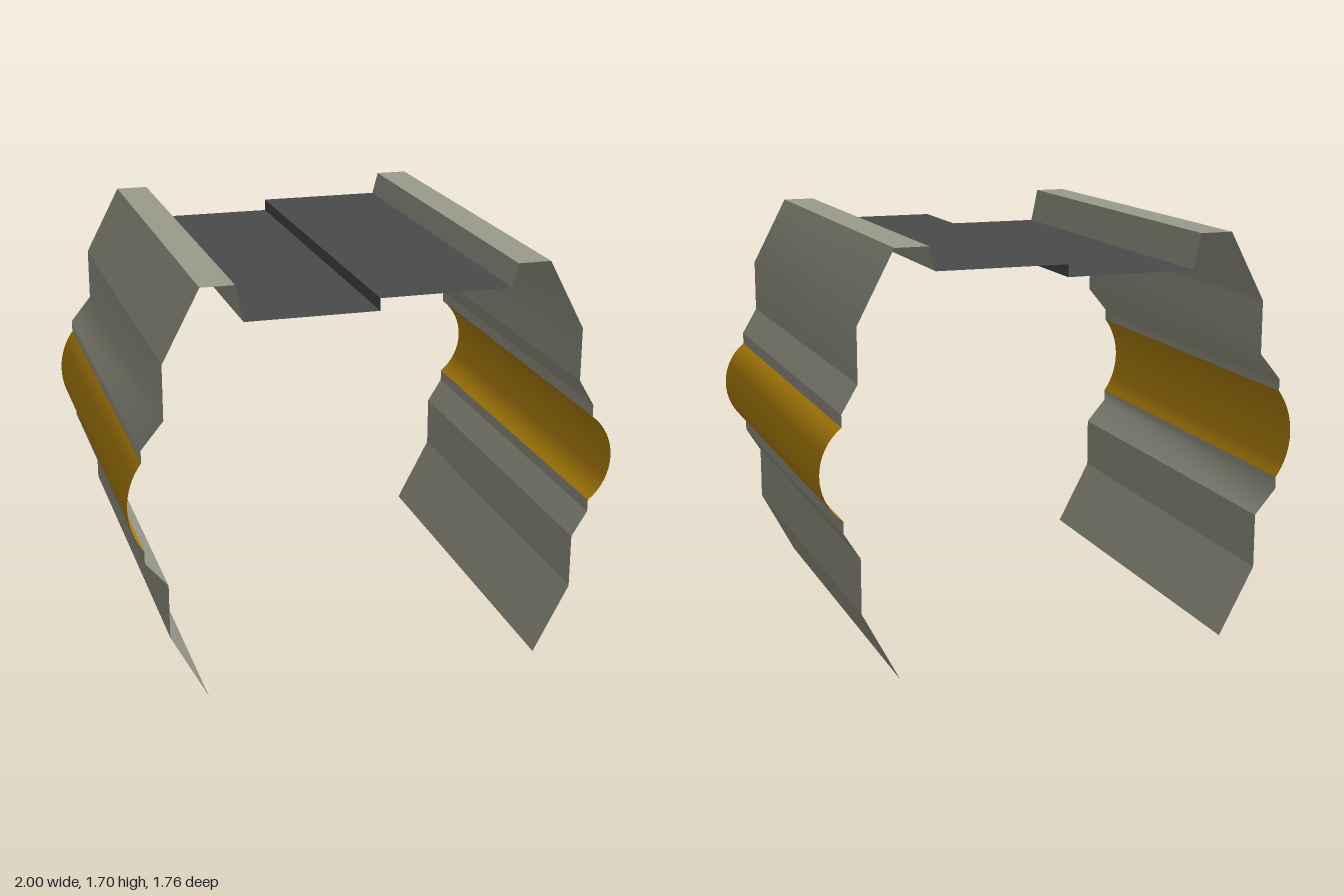
import * as THREE from 'three';

const DEPTH = 1.76;

function material(name, color) {
  const m = new THREE.MeshStandardMaterial({ color, side: THREE.DoubleSide });
  m.name = name;
  return m;
}

// Sheet swept along z from a list of [x, y] points; smooth within one strip
function strip(name, points, mat) {
  const n = points.length;
  const geo = new THREE.PlaneGeometry(1, 1, n - 1, 1);
  const pos = geo.attributes.position;
  for (let row = 0; row < 2; row++) {
    points.forEach(([x, y], i) => {
      pos.setXYZ(row * n + i, x, y, row === 0 ? -DEPTH / 2 : DEPTH / 2);
    });
  }
  geo.computeVertexNormals();
  const mesh = new THREE.Mesh(geo, mat);
  mesh.name = name;
  return mesh;
}

// Separate flat strips with a sharp fold at every point
function folded(name, points, mat) {
  const g = new THREE.Group();
  g.name = name;
  for (let i = 0; i + 1 < points.length; i++) {
    g.add(strip(name + 'Fold', [points[i], points[i + 1]], mat));
  }
  return g;
}

// Circular bulge between two heights, from the wall at x0 out to x1
function bulge(x0, x1, yTop, yBottom) {
  const half = (yTop - yBottom) / 2, sag = Math.abs(x1 - x0);
  const radius = (half * half + sag * sag) / (2 * sag);
  const span = Math.asin(half / radius), side = Math.sign(x1);
  return Array.from({ length: 17 }, (_, i) => {
    const a = span * (1 - i / 8);
    return [x1 - side * radius * (1 - Math.cos(a)), (yTop + yBottom) / 2 + radius * Math.sin(a)];
  });
}

export function createModel() {
  const model = new THREE.Group();
  model.name = 'foldedShell';
  const grey = material('warm grey', 0x9a9b8c);
  const gold = material('gold', 0xb8860b);
  const dark = material('dark grey', 0x4a4a4a);

  // Stepped roof
  model.add(folded('roofPanel', [[-0.535, 1.55], [0, 1.55], [0, 1.6], [0.535, 1.6]], dark));

  // Left wall (+x)
  const left = new THREE.Group();
  left.name = 'leftWall';
  left.add(
    folded('leftLip', [[0.535, 1.6], [0.56, 1.695], [0.695, 1.695]], grey),
    strip('leftShoulder', [[0.695, 1.695], [0.845, 1.41], [0.845, 1.19]], grey),
    folded('leftUpperStep', [[0.845, 1.19], [0.91, 1.08], [0.91, 1.03]], grey),
    strip('leftBulge', bulge(0.91, 1, 1.03, 0.665), gold),
    folded('leftLowerWall',
      [[0.91, 0.665], [0.91, 0.615], [0.845, 0.51], [0.845, 0.285], [0.695, 0]], grey)
  );

  // Right wall (-x)
  const right = new THREE.Group();
  right.name = 'rightWall';
  right.add(
    folded('rightLip', [[-0.535, 1.55], [-0.565, 1.695], [-0.7, 1.695], [-0.85, 1.41]], grey),
    strip('rightUpperStep', [[-0.85, 1.41], [-0.85, 1.19], [-0.94, 1.08], [-0.94, 1.03]], grey),
    strip('rightBulge', bulge(-0.94, -1, 1.03, 0.665), gold),
    strip('rightLowerStep', [[-0.94, 0.665], [-0.94, 0.615], [-0.85, 0.51]], grey),
    folded('rightSkirt', [[-0.85, 0.51], [-0.85, 0.285], [-0.7, 0]], grey)
  );

  model.add(left, right);
  return model;
}
